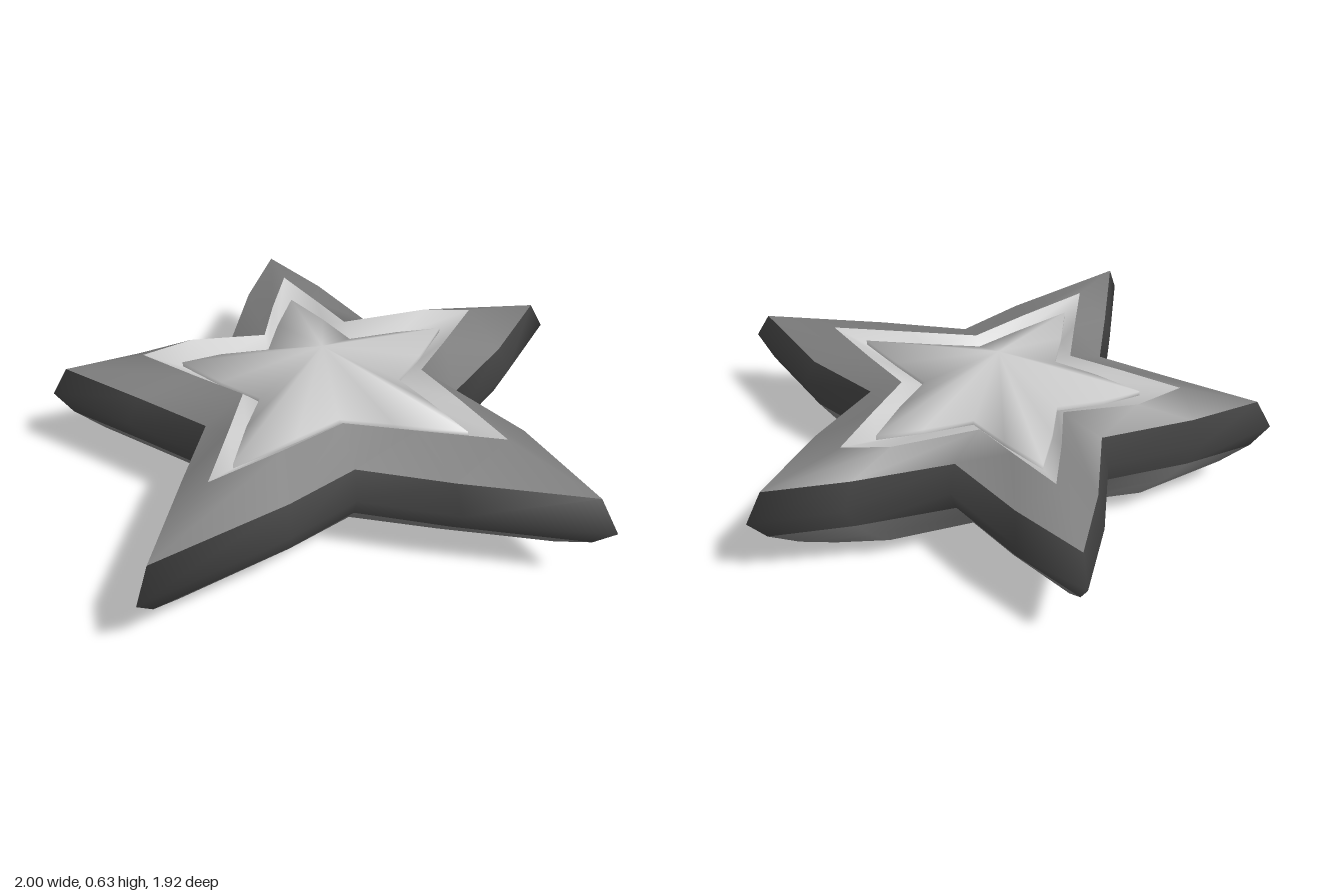
import * as THREE from 'three';
import { toCreasedNormals } from 'three/addons/utils/BufferGeometryUtils.js';

// Star outlines as [x, z], clockwise from the back tip: tip, edge middle, notch, edge middle...
const OUTER = [
  [-0.02, -0.96], [0.14, -0.68], [0.28, -0.34], [0.66, -0.335],
  [1.0, -0.31], [0.75, -0.02], [0.47, 0.23], [0.66, 0.52],
  [0.79, 0.96], [0.31, 0.76], [-0.02, 0.6], [-0.28, 0.73],
  [-0.82, 0.93], [-0.64, 0.51], [-0.51, 0.22], [-0.74, -0.02],
  [-1.0, -0.28], [-0.7, -0.32], [-0.32, -0.34], [-0.18, -0.68],
];
const RIM = [
  [-0.02, -0.62], [0.07, -0.41], [0.14, -0.24], [0.47, -0.255],
  [0.64, -0.21], [0.48, -0.02], [0.34, 0.14], [0.42, 0.35],
  [0.51, 0.61], [0.22, 0.49], [-0.02, 0.39], [-0.25, 0.49],
  [-0.53, 0.6], [-0.42, 0.35], [-0.33, 0.14], [-0.48, -0.01],
  [-0.65, -0.19], [-0.46, -0.25], [-0.18, -0.22], [-0.11, -0.41],
];
const GROOVE = [
  [-0.02, -0.48], [0.07, -0.31], [0.14, -0.15], [0.33, -0.155],
  [0.5, -0.145], [0.37, 0.02], [0.25, 0.15], [0.32, 0.31],
  [0.4, 0.51], [0.16, 0.41], [-0.02, 0.34], [-0.19, 0.41],
  [-0.43, 0.5], [-0.35, 0.31], [-0.27, 0.15], [-0.39, 0.02],
  [-0.51, -0.14], [-0.36, -0.16], [-0.18, -0.15], [-0.11, -0.31],
];
const CX = -0.02, CZ = 0.07;

// A star loop at height y, blended from outline a towards outline b
const loop = (y, a, b = a, t = 0) => a.map(([x, z], i) =>
  [x + (b[i][0] - x) * t, y, z + (b[i][1] - z) * t]);
const point = (y) => OUTER.map(() => [CX, y, CZ]);

// Smooth skin between successive loops, listed from the underside towards the top
function skin(name, loops, color) {
  const positions = [];
  const same = (p, q) => p.every((v, k) => v === q[k]);
  const triangle = (a, b, c) => {
    if (!same(a, b) && !same(b, c) && !same(a, c)) positions.push(...a, ...b, ...c);
  };
  for (let k = 0; k + 1 < loops.length; k++) {
    const low = loops[k], up = loops[k + 1];
    for (let i = 0; i < low.length; i++) {
      const j = (i + 1) % low.length;
      triangle(low[i], up[i], low[j]);
      triangle(up[i], up[j], low[j]);
    }
  }
  const geometry = new THREE.BufferGeometry();
  geometry.setAttribute('position', new THREE.Float32BufferAttribute(positions, 3));
  const mesh = new THREE.Mesh(
    toCreasedNormals(geometry, Math.PI),
    new THREE.MeshStandardMaterial({ color }),
  );
  mesh.name = name;
  return mesh;
}

export function createModel() {
  const light = 0xcccccc, middle = 0x7e7e7e, dark = 0x444444;
  const group = new THREE.Group();
  group.name = 'star';

  // Shared loops, bottom to top
  const lowApex = point(0);
  const lowBase = loop(0.108, GROOVE);
  const lowGroove = loop(0.14, GROOVE);
  const lowRim = loop(0.11, RIM, OUTER, 0.13);
  const lowBevel = loop(0.175, OUTER, RIM, 0.5);
  const lowBand = loop(0.25, OUTER, RIM, 0.19);
  const equator = loop(0.335, OUTER);
  const highBand = loop(0.45, OUTER, RIM, 0.17);
  const highRim = loop(0.52, RIM);
  const highGroove = loop(0.48, GROOVE);
  const highBase = loop(0.498, GROOVE);
  const highApex = point(0.635);

  group.add(
    skin('lowerPyramid', [lowApex, lowBase], light),
    skin('lowerPyramidWall', [lowBase, lowGroove], light),
    skin('lowerRim', [lowGroove, lowRim], light),
    skin('lowerBevel', [lowRim, lowBevel, lowBand], middle),
    skin('sideBand', [lowBand, equator, highBand], dark),
    skin('upperBevel', [highBand, highRim], middle),
    skin('upperRim', [highRim, highGroove], light),
    skin('upperPyramid', [highGroove, highBase, highApex], light),
  );
  return group;
}
